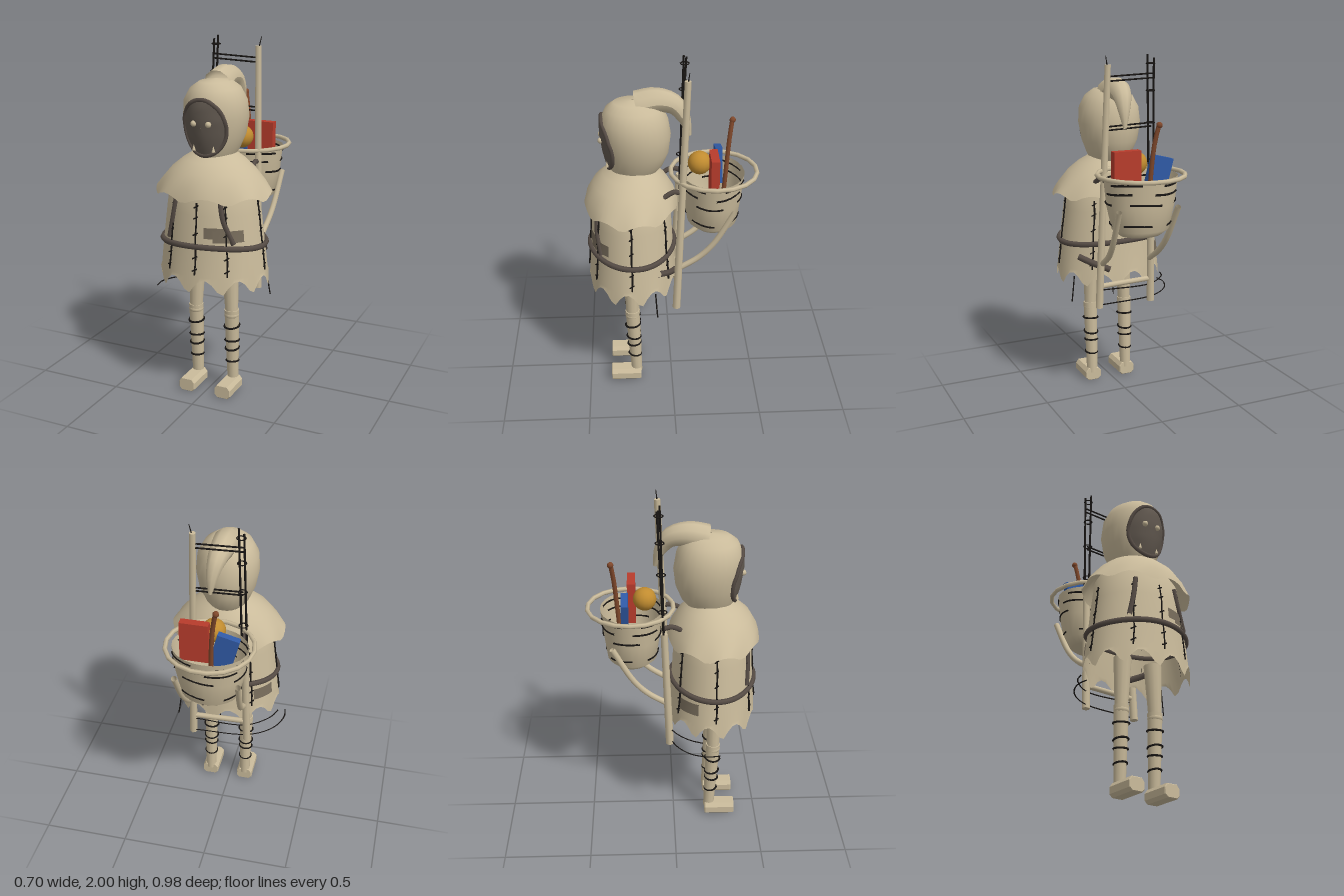
import * as THREE from 'three';

const mat = (name, color, side = THREE.DoubleSide) => {
  const m = new THREE.MeshStandardMaterial({ color, side });
  m.name = name;
  return m;
};
const V = (x, y, z) => new THREE.Vector3(x, y, z);
const CX = 0.013, CZ = 0.22; // body axis

// Closed elliptical cross-sections [y, rx, zFront, zBack]; warp may move the y of a row
function loft(rows, n, cx, warp = (y) => y) {
  const pos = [], idx = [], w = n + 1;
  rows.forEach(([y, rx, zf, zb], r) => {
    for (let i = 0; i < n; i++) {
      const a = (i / n) * Math.PI * 2;
      pos.push(cx + rx * Math.sin(a), warp(y, a, r), (zf + zb) / 2 + ((zf - zb) / 2) * Math.cos(a));
    }
    if (!r) return;
    for (let i = 0; i < n; i++) {
      const j = (i + 1) % n, p = (r - 1) * n, q = r * n;
      idx.push(p + i, p + j, q + j, p + i, q + j, q + i);
    }
  });
  const g = new THREE.BufferGeometry();
  g.setAttribute('position', new THREE.Float32BufferAttribute(pos, 3));
  g.setIndex(idx);
  g.computeVertexNormals();
  return g;
}

// Interpolated value of column c of a profile at height y
function sample(rows, y, c) {
  let k = 1;
  while (k < rows.length - 1 && rows[k][0] < y) k++;
  const a = rows[k - 1], b = rows[k];
  return THREE.MathUtils.lerp(a[c], b[c], THREE.MathUtils.clamp((y - a[0]) / (b[0] - a[0]), 0, 1));
}

const tunicRows = [[0.65, 0.315, 0.48, -0.03], [0.76, 0.308, 0.475, -0.025], [0.92, 0.29, 0.462, -0.01],
  [1.1, 0.268, 0.45, 0], [1.24, 0.25, 0.43, 0.02], [1.32, 0.2, 0.38, 0.06]];
const hoodRows = [[1.37, 0.1, 0.32, 0.09], [1.42, 0.127, 0.35, 0.045], [1.5, 0.16, 0.37, 0.012], [1.6, 0.178, 0.385, 0],
  [1.69, 0.17, 0.385, 0.015], [1.755, 0.135, 0.355, 0.045], [1.79, 0.085, 0.31, 0.09], [1.803, 0.005, 0.21, 0.2]];

// Points on the tunic at angle a (0 = front) and on the front of the hood
function onTunic(a, y, out = 0.004) {
  const rx = sample(tunicRows, y, 1), zf = sample(tunicRows, y, 2), zb = sample(tunicRows, y, 3);
  return V(CX + (rx + out) * Math.sin(a), y, (zf + zb) / 2 + ((zf - zb) / 2 + out) * Math.cos(a));
}
function onHood(x, y, out) {
  const rx = sample(hoodRows, y, 1), zf = sample(hoodRows, y, 2), zb = sample(hoodRows, y, 3);
  return V(CX + x, y, (zf + zb) / 2 + ((zf - zb) / 2) * Math.sqrt(Math.max(0, 1 - (x / rx) ** 2)) + out);
}

export function createModel() {
  const root = new THREE.Group();
  const cloth = mat('undyed cloth', 0xcabb9b), dark = mat('dark leather', 0x564c45), black = mat('black thread', 0x191614);
  const shade = mat('hood shadow', 0x625950), patchMat = mat('patch cloth', 0x776c5b), red = mat('red cover', 0xb83c2c);
  const blue = mat('blue cover', 0x305aa6), gold = mat('golden ball', 0xc18c30), brown = mat('brown wood', 0x80482b);

  const add = (name, geo, m, x = 0, y = 0, z = 0) => {
    const mesh = new THREE.Mesh(geo, m);
    mesh.name = name;
    mesh.position.set(x, y, z);
    root.add(mesh);
    return mesh;
  };
  const tube = (name, pts, r, m, closed = false, seg = pts.length * 3, sides = 6) =>
    add(name, new THREE.TubeGeometry(new THREE.CatmullRomCurve3(pts, closed), seg, r, sides, closed), m);
  const rod = (name, a, b, r, m, r2 = r, sides = 8) => {
    const mesh = add(name, new THREE.CylinderGeometry(r2, r, a.distanceTo(b), sides), m);
    mesh.position.copy(a).add(b).multiplyScalar(0.5);
    mesh.quaternion.setFromUnitVectors(V(0, 1, 0), b.clone().sub(a).normalize());
    return mesh;
  };

  // Tunic and cape with ragged hems
  add('tunic', loft(tunicRows, 60, CX, (y, a, r) => (r ? y : 0.65 + 0.095 * Math.abs(Math.sin(5 * a + 0.7)))), cloth);
  add('cape', loft([[1.18, 0.332, 0.49, -0.035], [1.25, 0.295, 0.475, -0.02], [1.32, 0.235, 0.435, 0.02],
    [1.37, 0.175, 0.38, 0.06], [1.405, 0.12, 0.32, 0.1]], 48, CX,
  (y, a, r) => (r ? y : 1.165 + 0.04 * Math.abs(Math.sin(4 * a + 0.8)))), cloth);

  // Hood with a drooping tip
  add('hood', loft(hoodRows, 28, CX), cloth);
  const tipPath = new THREE.CatmullRomCurve3([V(0.015, 1.77, 0.185), V(0.015, 1.795, 0.08), V(0.025, 1.775, -0.015),
    V(0.038, 1.7, -0.07), V(0.045, 1.6, -0.1)]);
  const tip = new THREE.TubeGeometry(tipPath, 14, 1, 10);
  const tp = tip.attributes.position;
  for (let i = 0; i < tp.count; i++) {
    const t = Math.floor(i / 11) / 14, c = tipPath.getPointAt(t);
    const p = V(0, 0, 0).fromBufferAttribute(tp, i).sub(c).multiplyScalar(0.078 - 0.068 * t ** 1.6).add(c);
    tp.setXYZ(i, p.x, p.y, p.z);
  }
  tip.computeVertexNormals();
  add('hoodTip', tip, cloth);

  // Shadowed face following the hood front, with rim, eyes and teeth
  const face = new THREE.RingGeometry(0.01, 1, 28, 5), fp = face.attributes.position;
  for (let i = 0; i < fp.count; i++) {
    const p = onHood(fp.getX(i) * 0.12, 1.56 + fp.getY(i) * 0.15, 0.006);
    fp.setXYZ(i, p.x, p.y, p.z);
  }
  face.computeVertexNormals();
  add('face', face, shade);
  const rim = [];
  for (let i = 0; i < 24; i++) {
    const a = (i / 24) * Math.PI * 2;
    rim.push(onHood(Math.cos(a) * 0.122, 1.56 + Math.sin(a) * 0.153, 0.003));
  }
  tube('faceRim', rim, 0.012, dark, true, 48);
  for (const s of [-1, 1]) {
    add('eye', new THREE.SphereGeometry(0.017, 10, 8), cloth).position.copy(onHood(s * 0.043, 1.585, 0.006));
    add('tooth', new THREE.ConeGeometry(0.01, 0.035, 6), cloth).position.copy(onHood(s * 0.058, 1.45, 0.01));
  }

  // Belt, front straps and belt tail
  const belt = [];
  for (let i = 0; i < 24; i++) {
    const a = (i / 24) * Math.PI * 2;
    belt.push(onTunic(a, 0.92 + 0.012 * Math.sin(2 * a + 1.2), 0.006));
  }
  tube('belt', belt, 0.016, dark, true, 60);
  tube('frontStrap', [onTunic(-0.55, 1.19), onTunic(-0.6, 1.08), onTunic(-0.68, 0.95)], 0.014, dark);
  tube('frontStrap', [onTunic(0.5, 1.19), onTunic(0.56, 1.08), onTunic(0.75, 0.95)], 0.014, dark);
  tube('beltTail', [onTunic(2.2, 0.84), onTunic(2.5, 0.81), onTunic(2.85, 0.77)], 0.02, dark);
  for (const x of [-0.135, 0.155])
    tube('shoulderStrap', [V(x, 1.3, -0.06), V(x, 1.31, -0.01), V(x + 0.01, 1.28, 0.05)], 0.014, dark);

  // Patches wrapped on the tunic
  const patch = (a0, a1, y0, y1, out) => {
    const g = new THREE.PlaneGeometry(1, 1, 4, 2), p = g.attributes.position;
    for (let i = 0; i < p.count; i++) {
      const q = onTunic(a0 + (p.getX(i) + 0.5) * (a1 - a0), y0 + (p.getY(i) + 0.5) * (y1 - y0), out);
      p.setXYZ(i, q.x, q.y, q.z);
    }
    g.computeVertexNormals();
    add('patch', g, patchMat);
  };
  patch(0.17, 0.62, 0.98, 1.04, 0.005);
  patch(0.34, 0.98, 0.96, 1.025, 0.007);
  patch(-2.45, -1.95, 0.81, 0.88, 0.006);

  // Stitched seams
  for (const a of [0, 0.6, -0.6, 1.54, -1.54, 2.5, -2.5]) {
    tube('seam', [0.77, 0.87, 0.97, 1.07, 1.17].map((y, i) => onTunic(a + (i % 2) * 0.015, y)), 0.005, black, false, 12, 4);
    for (const y of [0.8, 0.87, 1.0, 1.09, 1.15])
      rod('stitch', onTunic(a - 0.05, y - 0.008, 0.006), onTunic(a + 0.05, y + 0.008, 0.006), 0.004, black, 0.004, 4);
  }

  // Legs with thread wraps and block feet
  for (const x of [-0.1, 0.125]) {
    rod('leg', V(x, 0.05, 0.215), V(x, 0.5, 0.235), 0.032, cloth, 0.042, 12);
    rod('thigh', V(x, 0.48, 0.235), V(x + (x < 0 ? 0.01 : -0.01), 0.78, 0.235), 0.036, cloth, 0.05, 12);
    add('knee', new THREE.SphereGeometry(0.043, 12, 8), cloth, x, 0.47, 0.235).scale.y = 0.7;
    [0.18, 0.26, 0.31, 0.4].forEach((y, i) => {
      const wrap = add('legWrap', new THREE.TorusGeometry(0.036 + 0.008 * (y - 0.18) / 0.22, 0.006, 5, 14), black, x, y, 0.217 + y * 0.04);
      wrap.rotation.set(Math.PI / 2 + (i % 2 ? 0.12 : -0.1), 0.06, 0);
    });
    const s = new THREE.Shape([[-0.045, 0.015], [-0.03, 0], [0.03, 0], [0.045, 0.015], [0.045, 0.05], [0.03, 0.07],
      [-0.03, 0.07], [-0.045, 0.05]].map(([u, v]) => new THREE.Vector2(u, v)));
    add('foot', new THREE.ExtrudeGeometry(s, { depth: 0.17, bevelEnabled: true, bevelSize: 0.004, bevelThickness: 0.005, bevelSegments: 1 }),
      cloth, x, 0.004, 0.195);
  }

  // Pack frame: one full pole, one bound from two dark rods at the top
  rod('leftPole', V(0.175, 0.55, -0.025), V(0.14, 1.95, -0.083), 0.023, cloth, 0.018);
  rod('poleSplinter', V(0.143, 1.94, -0.083), V(0.155, 2, -0.09), 0.004, black, 0.002, 4);
  rod('rightPole', V(-0.155, 0.55, -0.025), V(-0.14, 1.27, -0.055), 0.023, cloth, 0.02);
  for (const s of [-1, 1])
    rod('boundRod', V(-0.14 + s * 0.014, 1.18, -0.055), V(-0.118 + s * 0.016, s < 0 ? 1.98 : 2, -0.083 + s * 0.008), 0.007, black, 0.006, 5);
  for (const y of [1.4, 1.62, 1.8, 1.95]) {
    const tie = add('rodTie', new THREE.TorusGeometry(0.024, 0.004, 4, 10), black, -0.138 + (y - 1.18) * 0.026, y, -0.055 - (y - 1.18) * 0.034);
    tie.rotation.x = Math.PI / 2;
  }
  for (const [y, z] of [[1.87, -0.08], [1.895, -0.08], [1.6, -0.07], [1.62, -0.07]])
    rod('ropeRung', V(-0.13, y, z), V(0.155, y - 0.01, z), 0.005, black, 0.005, 5);
  rod('lowerRung', V(-0.16, 0.69, -0.03), V(0.18, 0.68, -0.03), 0.016, cloth);

  // Loose threads
  tube('looseThread', [V(-0.34, 0.58, 0.26), V(-0.347, 0.58, 0.19), V(-0.3, 0.575, 0.08), V(-0.17, 0.57, -0.01), V(0.17, 0.57, -0.04)], 0.004, black, false, 24, 4);
  tube('looseThread', [V(-0.31, 0.65, 0.16), V(-0.28, 0.655, 0.08), V(-0.15, 0.65, -0.02), V(0.17, 0.66, -0.04)], 0.004, black, false, 20, 4);
  tube('looseThread', [V(0.28, 0.72, 0.1), V(0.29, 0.64, 0.095), V(0.3, 0.57, 0.09)], 0.004, black, false, 8, 4);
  tube('looseThread', [V(0.03, 0.7, 0.1), V(0.035, 0.64, 0.1), V(0.035, 0.58, 0.09)], 0.003, black, false, 8, 4);

  // Basket, hoop and braces
  const bz = -0.235;
  const basketRows = [[1.02, 0.005, bz + 0.005, bz - 0.005], [1.028, 0.12, bz + 0.1, bz - 0.1], [1.065, 0.165, bz + 0.142, bz - 0.142],
    [1.2, 0.195, bz + 0.16, bz - 0.16], [1.36, 0.212, bz + 0.177, bz - 0.177]];
  add('basket', loft(basketRows, 24, CX), cloth);
  const hoop = add('basketHoop', new THREE.TorusGeometry(0.243, 0.013, 6, 18), cloth, CX, 1.365, -0.24);
  hoop.rotation.x = Math.PI / 2;
  [[1.33, 0.3], [1.28, 1.6], [1.22, 0.9], [1.1, 2.2]].forEach(([y, start]) => {
    const rx = sample(basketRows, y, 1), rz = sample(basketRows, y, 2) - bz;
    for (let k = 0; k < 4; k++) {
      const pts = [];
      for (let i = 0; i <= 5; i++) {
        const a = start + k * 1.57 + i * 0.19;
        pts.push(V(CX + rx * Math.sin(a), y + 0.006 * Math.sin(3 * a), bz + rz * Math.cos(a)));
      }
      tube('basketWeave', pts, 0.006, black, false, 8, 4);
    }
  });
  for (const s of [-1, 1])
    tube('basketBrace', [V(CX + s * 0.15, 0.82, -0.045), V(CX + s * 0.155, 0.89, -0.15), V(CX + s * 0.165, 0.98, -0.23),
      V(CX + s * 0.178, 1.19, -0.345)], 0.017, cloth, false, 14, 8);

  // Basket contents
  add('ball', new THREE.SphereGeometry(0.066, 16, 12), gold, 0.01, 1.415, -0.16);
  add('redBook', new THREE.BoxGeometry(0.16, 0.24, 0.046), red, 0.1, 1.38, -0.235);
  add('blueBook', new THREE.BoxGeometry(0.125, 0.2, 0.04), blue, -0.075, 1.365, -0.272).rotation.z = 0.25;
  tube('walkingStick', [V(-0.005, 1.06, -0.29), V(-0.01, 1.36, -0.312), V(-0.025, 1.55, -0.328), V(-0.045, 1.655, -0.343)], 0.013, brown, false, 10, 7);
  add('stickKnob', new THREE.SphereGeometry(0.018, 8, 6), brown, -0.045, 1.645, -0.343);
  return root;
}
